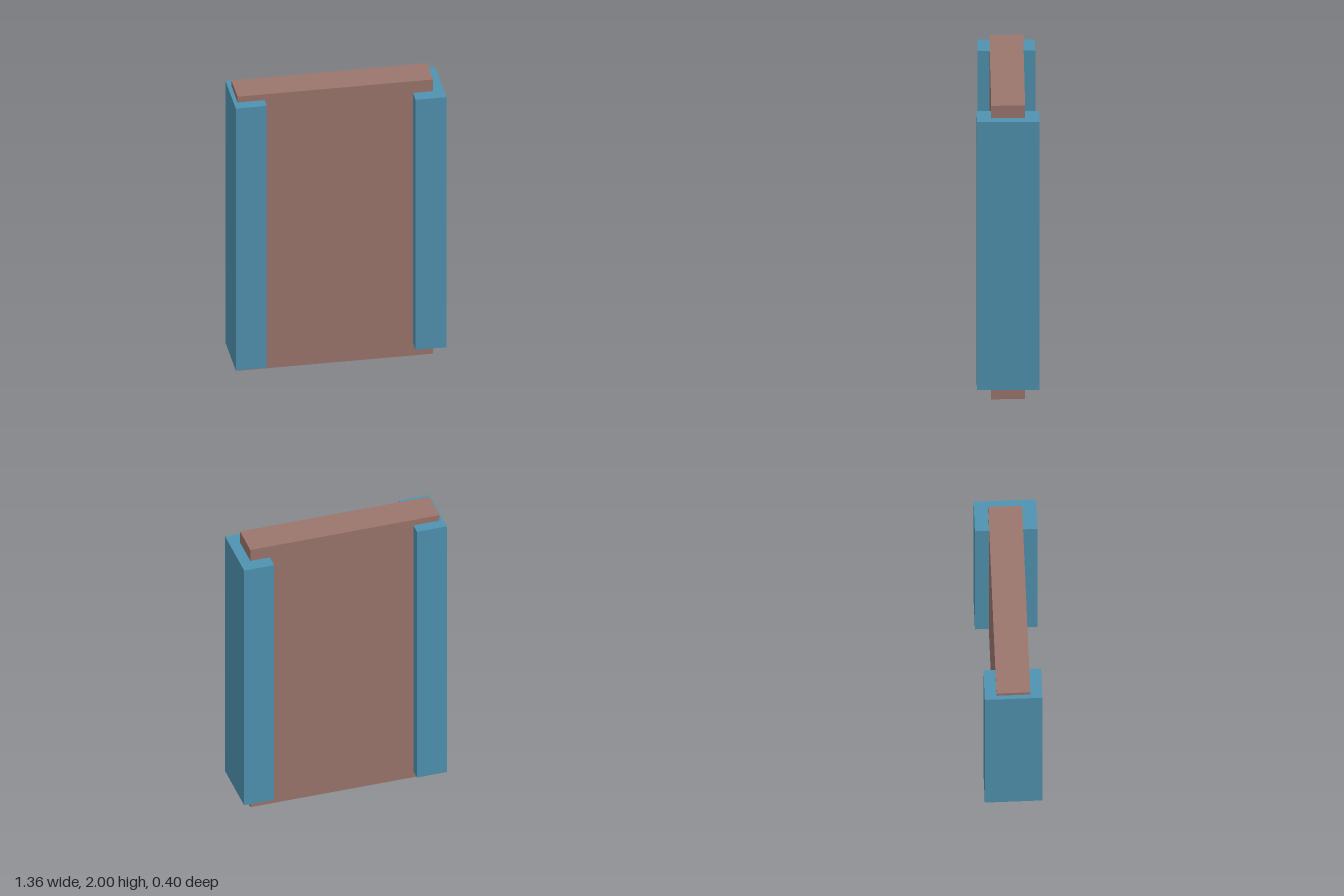
import * as THREE from 'three';

const brown = new THREE.MeshStandardMaterial({ color: 0x9b766d });
const blue = new THREE.MeshStandardMaterial({ color: 0x5093b1 });

// Box given by its lower and upper bounds on each axis
function block(name, material, [x0, x1], [y0, y1], [z0, z1]) {
  const mesh = new THREE.Mesh(new THREE.BoxGeometry(x1 - x0, y1 - y0, z1 - z0), material);
  mesh.position.set((x0 + x1) / 2, (y0 + y1) / 2, (z0 + z1) / 2);
  mesh.name = name;
  return mesh;
}

export function createModel() {
  const model = new THREE.Group();
  model.name = 'panelWithSideRails';
  model.add(
    // Upright slab, slightly off centre
    block('panel', brown, [-0.655, 0.61], [0, 2], [-0.11, 0.106]),
    // Rails wrapping the two side edges; the left one is shorter and deeper
    block('rightRail', blue, [-0.68, -0.48], [0.047, 1.958], [-0.185, 0.182]),
    block('leftRail', blue, [0.48, 0.68], [0.09, 1.915], [-0.2, 0.198]),
  );
  return model;
}
